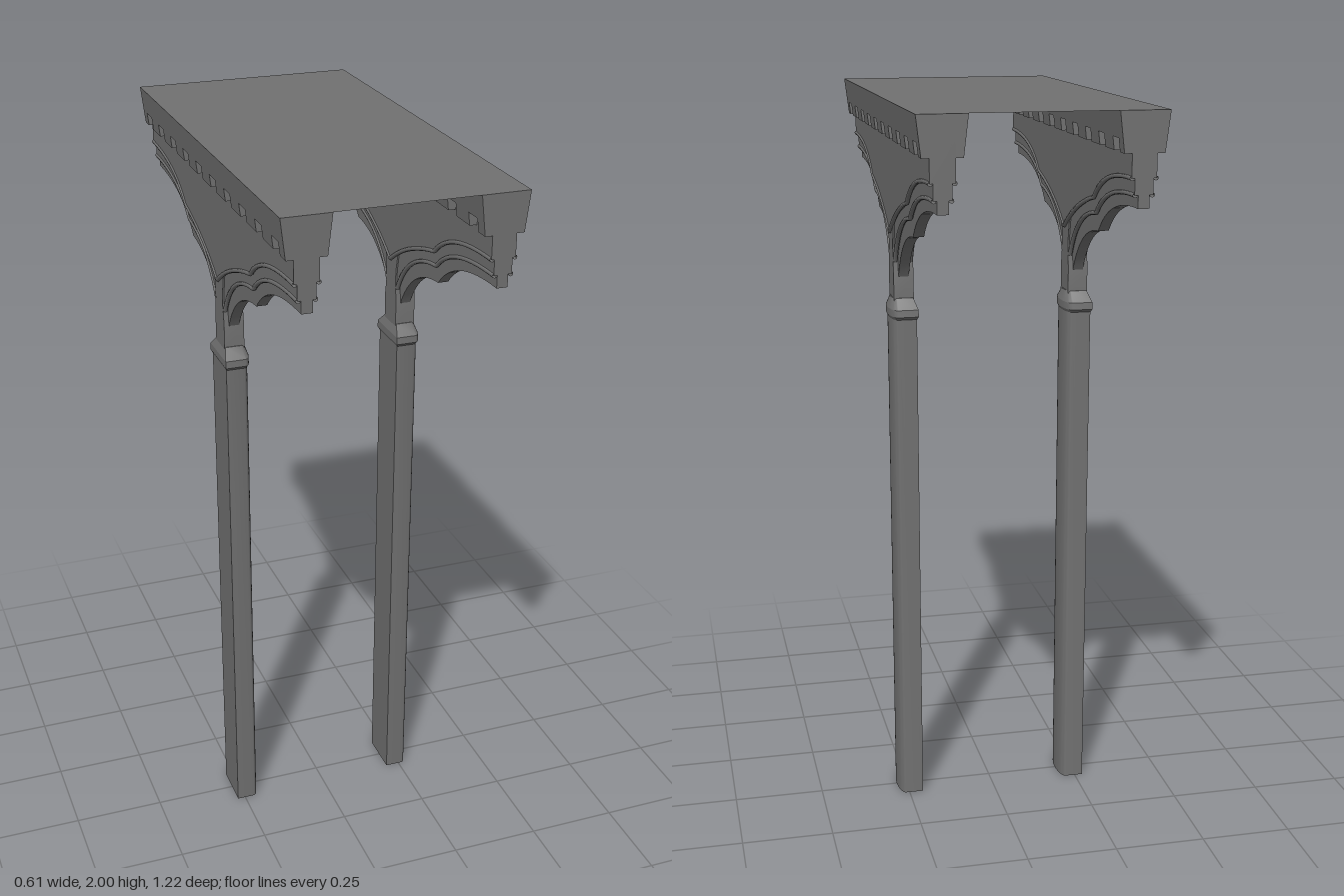
import * as THREE from 'three';
import { toCreasedNormals } from 'three/addons/utils/BufferGeometryUtils.js';

const HALF_LEN = 0.612, SPACING = 0.2415;
const stone = new THREE.MeshStandardMaterial({ color: 0x717171 });
const sheet = new THREE.MeshStandardMaterial({ color: 0x717171, side: THREE.DoubleSide });
const V = (p) => new THREE.Vector2(p[0], p[1]);

function mesh(name, geometry, material = stone) {
  const m = new THREE.Mesh(geometry, material);
  m.name = name;
  return m;
}

// Two-lobed arch edge from the column axis outwards: start, bend, cusp, bend, end as [z, y]
function archEdge(start, bend1, cusp, bend2, end) {
  const a = new THREE.QuadraticBezierCurve(V(start), V(bend1), V(cusp)).getPoints(16);
  const b = new THREE.QuadraticBezierCurve(V(cusp), V(bend2), V(end)).getPoints(16);
  return [...a, ...b.slice(1)];
}
const outerEdge = archEdge([0, 1.64], [0.11, 1.718], [0.285, 1.755], [0.38, 1.842], [HALF_LEN, 1.842]);
const middleEdge = archEdge([0.032, 1.565], [0.1, 1.695], [0.283, 1.715], [0.375, 1.802], [HALF_LEN, 1.802]);
const innerEdge = archEdge([0.038, 1.522], [0.11, 1.655], [0.28, 1.667], [0.375, 1.77], [HALF_LEN, 1.77]);

// Extrudes a z-y outline to a plate centred on x = 0
function plate(points, halfThickness) {
  const g = new THREE.ExtrudeGeometry(new THREE.Shape(points),
    { depth: halfThickness * 2, bevelEnabled: false });
  g.translate(0, 0, -halfThickness).rotateY(Math.PI / 2);
  return toCreasedNormals(g, 0.4);
}
const mirrored = (pts) => [...pts.map((p) => new THREE.Vector2(-p.x, p.y)).reverse(), ...pts];

function archPlate(edge, halfThickness) {
  return plate([...mirrored(edge), V([HALF_LEN, 1.94]), V([-HALF_LEN, 1.94])], halfThickness);
}

// Rounded moulding following an arch edge on one face
function bead(edge, x, side, radius) {
  const pts = edge.map((p) => new THREE.Vector3(x, p.y, p.x * side));
  return new THREE.TubeGeometry(new THREE.CatmullRomCurve3(pts), 60, radius, 8);
}

// Shaft section: flat back and sides, bowed face towards +x; scaled from bottom to top
function shaftSolid(y0, y1, bottom, top) {
  const pts = [V([-0.034, 0.062]), V([-0.034, -0.062])];
  for (let i = 0; i <= 16; i++) {
    const a = -Math.PI / 2 + (Math.PI * i) / 16;
    pts.push(V([0.016 + 0.018 * Math.cos(a), 0.062 * Math.sin(a)]));
  }
  const g = new THREE.ExtrudeGeometry(new THREE.Shape(pts), { depth: 1, bevelEnabled: false });
  g.rotateX(-Math.PI / 2);
  const pos = g.attributes.position;
  for (let i = 0; i < pos.count; i++) {
    const t = pos.getY(i);
    pos.setXYZ(i,
      pos.getX(i) * THREE.MathUtils.lerp(bottom[0], top[0], t) + 0.003,
      THREE.MathUtils.lerp(y0, y1, t),
      pos.getZ(i) * THREE.MathUtils.lerp(bottom[1], top[1], t));
  }
  return toCreasedNormals(g, 0.7);
}

// Tapered bar running along z
function taperedBar(z0, z1, y0, y1, half0, half1) {
  const s = new THREE.Shape([V([-half0, y0]), V([half0, y0]), V([half1, y1]), V([-half1, y1])]);
  return new THREE.ExtrudeGeometry(s, { depth: z1 - z0, bevelEnabled: false }).translate(0, 0, z0);
}

function createBay() {
  const bay = new THREE.Group();

  // Column, collar and neck
  bay.add(mesh('columnShaft', shaftSolid(0, 1.415, [1, 1], [1, 1])));
  bay.add(mesh('collarUnderside', shaftSolid(1.41, 1.418, [1, 1.04], [1.1, 1.15])));
  bay.add(mesh('collarBand', shaftSolid(1.418, 1.437, [1.1, 1.15], [1.1, 1.13])));
  bay.add(mesh('collarSlope', shaftSolid(1.437, 1.465, [1.1, 1.13], [0.82, 0.66])));
  const neckSide = [[0.039, 1.45], [0.039, 1.53], [0.031, 1.58], [0.034, 1.62], [0.044, 1.665]].map(V);
  bay.add(mesh('neck', plate([...mirrored(neckSide), V([0, 1.64])], 0.027)));

  // Stepped arch plates
  bay.add(mesh('spandrel', archPlate(outerEdge, 0.031)));
  bay.add(mesh('middleArch', archPlate(middleEdge, 0.023)));
  bay.add(mesh('innerArch', archPlate(innerEdge, 0.014)));

  // Mouldings on both faces and both arms
  for (const face of [-1, 1]) {
    for (const side of [-1, 1]) {
      bay.add(mesh('outerMoulding', bead(outerEdge, face * 0.029, side, 0.006), sheet));
      bay.add(mesh('middleMoulding', bead(middleEdge, face * 0.021, side, 0.006), sheet));
    }
  }

  // Cornice with a row of dentils beneath
  bay.add(mesh('cornice', taperedBar(-HALF_LEN, HALF_LEN, 1.933, 2, 0.054, 0.062)));
  const pitch = (HALF_LEN * 2) / 10;
  for (let i = 0; i <= 10; i++) {
    const z = -HALF_LEN + i * pitch;
    const z0 = Math.max(z - 0.037, -HALF_LEN), z1 = Math.min(z + 0.037, HALF_LEN);
    bay.add(mesh('dentil', taperedBar(z0, z1, 1.9, 1.933, 0.05, 0.054)));
  }
  return bay;
}

export function createModel() {
  const model = new THREE.Group();
  model.name = 'arcade';
  for (const side of [-1, 1]) {
    const bay = createBay();
    bay.name = side < 0 ? 'rightArcade' : 'leftArcade';
    bay.position.x = side * SPACING;
    model.add(bay);
  }

  // Thin roof sheet joining both arcades
  const roof = mesh('roof', new THREE.PlaneGeometry(0.607, HALF_LEN * 2).rotateX(-Math.PI / 2), sheet);
  roof.position.y = 2;
  model.add(roof);
  return model;
}
